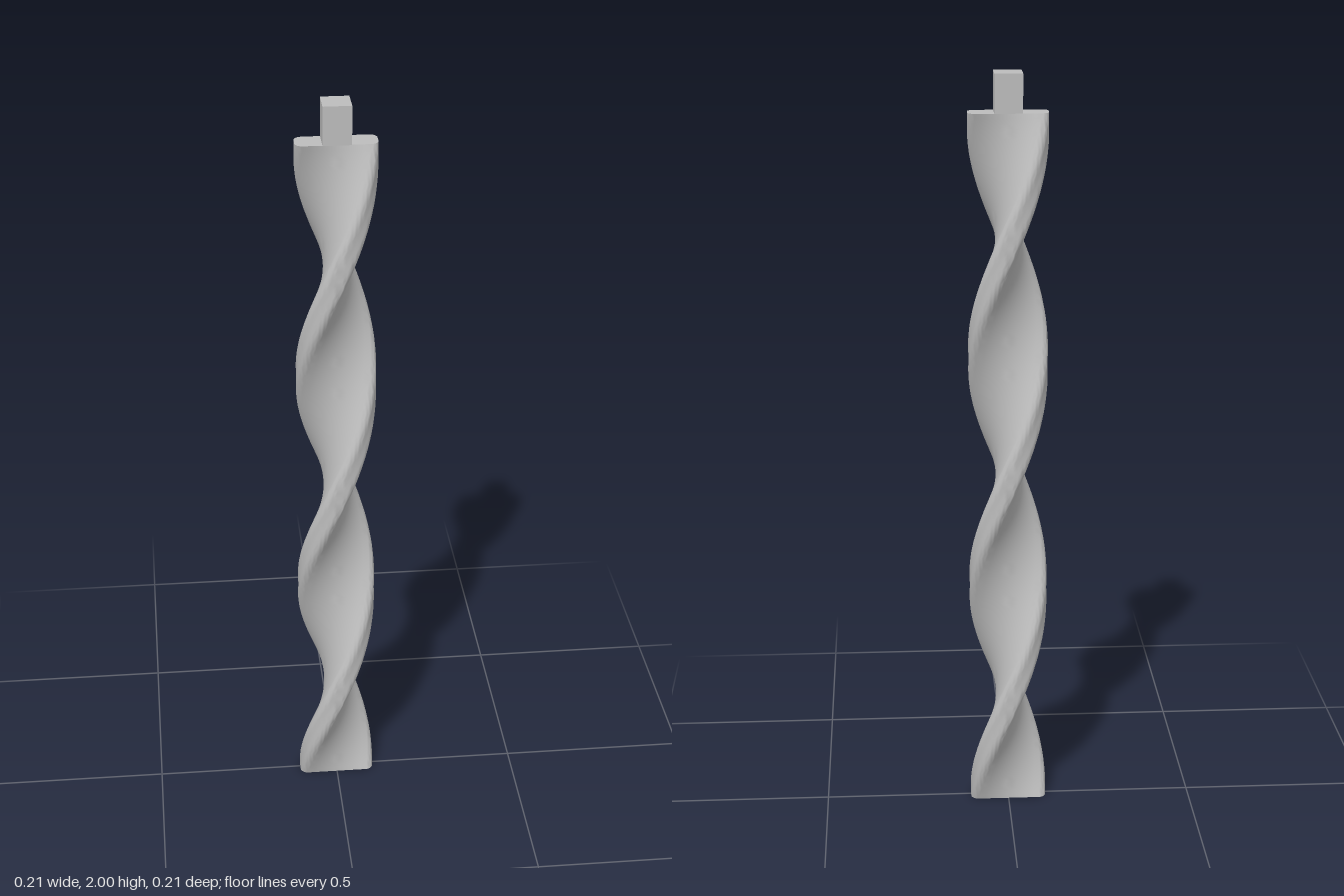
import * as THREE from 'three';
import { toCreasedNormals } from 'three/addons/utils/BufferGeometryUtils.js';

const HALF_WIDTH = 0.103, HALF_DEPTH = 0.033, CORNER = 0.02;
const BAR_HEIGHT = 1.9, TWIST = Math.PI * 3, STEPS = 144;

// Rounded rectangle outline, with its straight sides subdivided so they twist cleanly
function barOutline() {
  const points = [];
  const corners = [[1, 1], [-1, 1], [-1, -1], [1, -1]];
  const arcPoint = (i, t) => {
    const [sx, sy] = corners[i % 4];
    const a = (i % 4 + t) * Math.PI / 2;
    return new THREE.Vector2(
      sx * (HALF_WIDTH - CORNER) + CORNER * Math.cos(a),
      sy * (HALF_DEPTH - CORNER) + CORNER * Math.sin(a));
  };
  for (let i = 0; i < 4; i++) {
    for (let k = 0; k <= 6; k++) points.push(arcPoint(i, k / 6));
    const from = arcPoint(i, 1), to = arcPoint(i + 1, 0);
    const cuts = i % 2 === 0 ? 10 : 3;
    for (let k = 1; k < cuts; k++) points.push(from.clone().lerp(to, k / cuts));
  }
  return new THREE.Shape(points);
}

// Upright extrusion turned one and a half times about its axis
function twistedBar() {
  const geometry = new THREE.ExtrudeGeometry(barOutline(), {
    depth: BAR_HEIGHT, steps: STEPS, bevelEnabled: false });
  geometry.rotateX(-Math.PI / 2);
  const pos = geometry.attributes.position;
  const v = new THREE.Vector3(), up = new THREE.Vector3(0, 1, 0);
  for (let i = 0; i < pos.count; i++) {
    v.fromBufferAttribute(pos, i);
    v.applyAxisAngle(up, TWIST * v.y / BAR_HEIGHT);
    pos.setXYZ(i, v.x, v.y, v.z);
  }
  return toCreasedNormals(geometry, THREE.MathUtils.degToRad(40));
}

export function createModel() {
  const group = new THREE.Group();
  group.name = 'twistedRod';
  const steel = new THREE.MeshStandardMaterial({ color: 0xbcbcbc });
  steel.name = 'steel grey';

  const bar = new THREE.Mesh(twistedBar(), steel);
  bar.name = 'twistedBar';

  // Square drive pin on top
  const pin = new THREE.Mesh(new THREE.BoxGeometry(0.072, 0.1, 0.072), steel);
  pin.name = 'squarePin';
  pin.position.y = BAR_HEIGHT + 0.05;

  group.add(bar, pin);
  return group;
}
